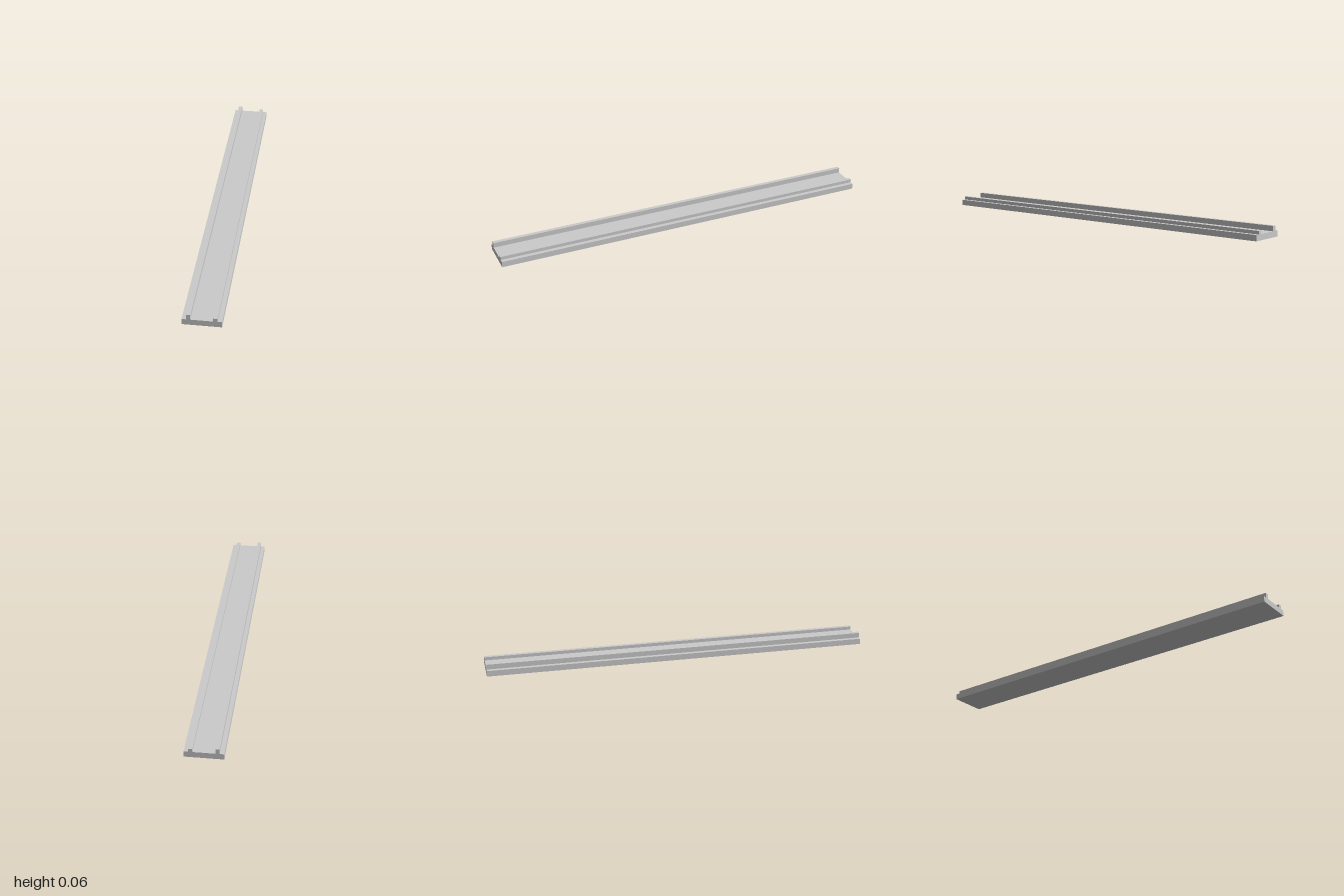
import * as THREE from 'three';

const LENGTH = 2;
const HALF_WIDTH = 0.094;
const BASE_TOP = 0.03;
// the two ribs differ in height
const RIBS = [
  { inner: 0.053, outer: 0.073, top: 0.056, side: -1 },
  { inner: 0.053, outer: 0.073, top: 0.047, side: 1 },
];

export function createModel() {
  const group = new THREE.Group();
  group.name = 'guideRail';

  // constant cross-section: flat base with two upright ribs
  const section = new THREE.Shape();
  section.moveTo(HALF_WIDTH, 0);
  section.lineTo(HALF_WIDTH, BASE_TOP);
  for (const { inner, outer, top, side } of [...RIBS].reverse()) {
    const [first, last] = side > 0 ? [outer, inner] : [-inner, -outer];
    section.lineTo(first, BASE_TOP);
    section.lineTo(first, top);
    section.lineTo(last, top);
    section.lineTo(last, BASE_TOP);
  }
  section.lineTo(-HALF_WIDTH, BASE_TOP);
  section.lineTo(-HALF_WIDTH, 0);
  section.closePath();

  // section swept along z
  const geometry = new THREE.ExtrudeGeometry(section, { depth: LENGTH, bevelEnabled: false });
  geometry.translate(0, 0, -LENGTH / 2);
  const rail = new THREE.Mesh(geometry, new THREE.MeshStandardMaterial({ color: 0xcccccc }));
  rail.name = 'ribbedRail';
  group.add(rail);

  return group;
}
